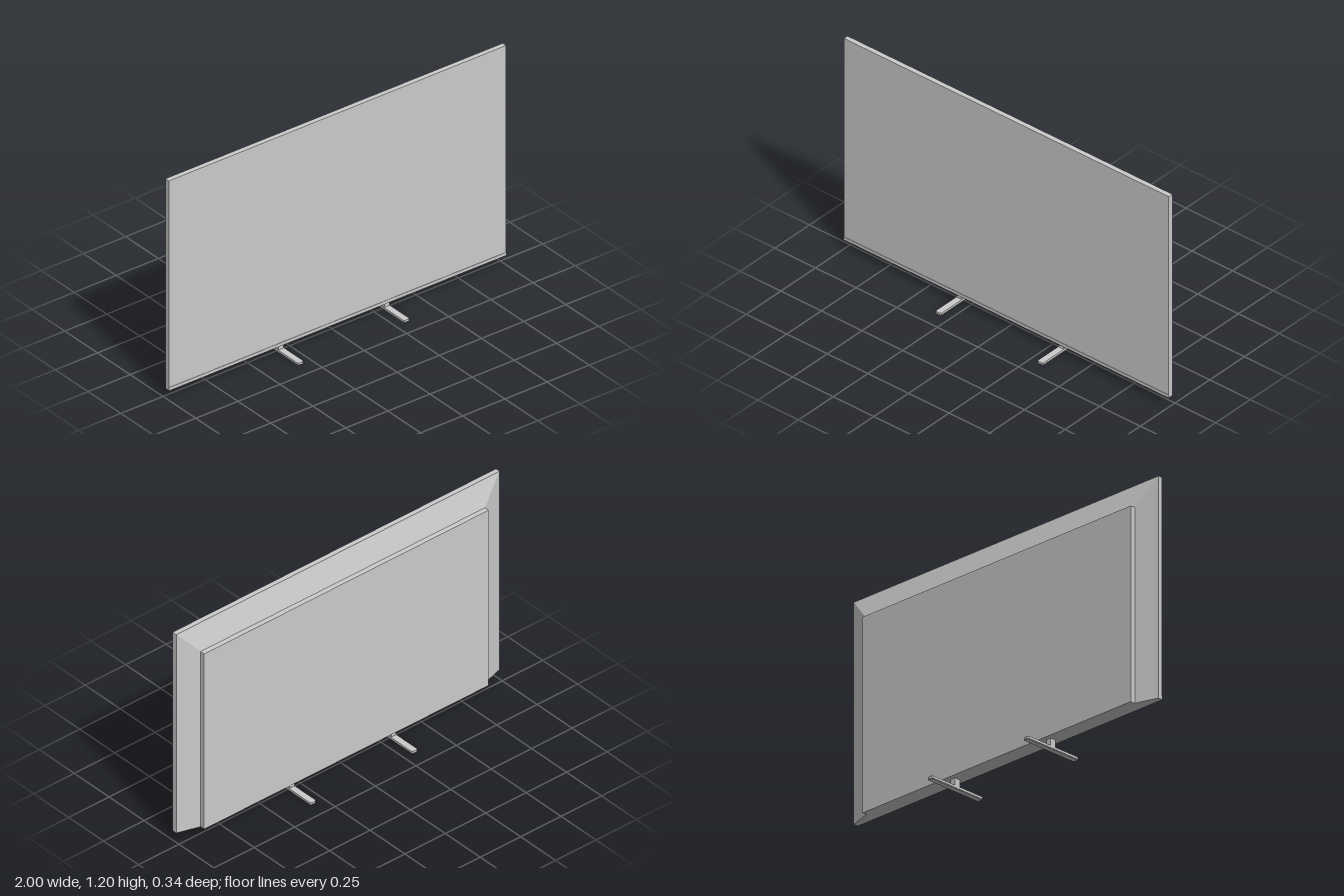
import * as THREE from 'three';

const grey = new THREE.MeshStandardMaterial({ color: 0xcccccc });

// Box given by its extents on each axis
function slab(name, [x0, x1], [y0, y1], [z0, z1]) {
  const geo = new THREE.BoxGeometry(x1 - x0, y1 - y0, z1 - z0);
  geo.translate((x0 + x1) / 2, (y0 + y1) / 2, (z0 + z1) / 2);
  const mesh = new THREE.Mesh(geo, grey);
  mesh.name = name;
  return mesh;
}

// Flat bar lying along z with clipped corners
function bar(name, width, length, y0, y1) {
  const w = width / 2, l = length / 2, c = 0.006;
  const shape = new THREE.Shape([
    [-w + c, -l], [w - c, -l], [w, -l + c], [w, l - c],
    [w - c, l], [-w + c, l], [-w, l - c], [-w, -l + c],
  ].map(([x, y]) => new THREE.Vector2(x, y)));
  const geo = new THREE.ExtrudeGeometry(shape, { depth: y1 - y0, bevelEnabled: false });
  geo.rotateX(-Math.PI / 2).translate(0, y0, 0);
  const mesh = new THREE.Mesh(geo, grey);
  mesh.name = name;
  return mesh;
}

export function createModel() {
  const group = new THREE.Group();
  group.name = 'television';
  const bottom = 0.053, top = 1.2;

  // Thin front panel with a slightly proud strip along its lower edge
  group.add(slab('screenPanel', [-1, 1], [bottom, top], [0.019, 0.045]));
  group.add(slab('lowerBezel', [-1, 1], [bottom, bottom + 0.017], [0.045, 0.047]));

  // Rear shell: narrows towards the back on the top and sides, level underneath
  const shell = slab('taperedShell', [-0.995, 0.995], [bottom, 1.195], [-0.016, 0.019]);
  const p = shell.geometry.attributes.position;
  for (let i = 0; i < p.count; i++) {
    if (p.getZ(i) > 0) continue;
    p.setX(i, Math.sign(p.getX(i)) * 0.88);
    if (p.getY(i) > 0.5) p.setY(i, 1.065);
  }
  shell.geometry.computeVertexNormals();
  group.add(shell);

  // Raised housing on the back
  group.add(slab('backHousing', [-0.88, 0.88], [bottom, 1.065], [-0.042, -0.016]));

  // Two feet, each a short neck on a long bar with a pad below
  for (const side of [-1, 1]) {
    const foot = new THREE.Group();
    foot.name = side > 0 ? 'leftFoot' : 'rightFoot';
    foot.add(slab('neck', [-0.014, 0.014], [0.012, bottom + 0.002], [-0.016, 0.018]));
    foot.add(bar('footBar', 0.034, 0.34, 0.002, 0.014));
    foot.add(bar('footPad', 0.024, 0.33, 0, 0.002));
    foot.position.x = side * 0.314;
    group.add(foot);
  }
  return group;
}
